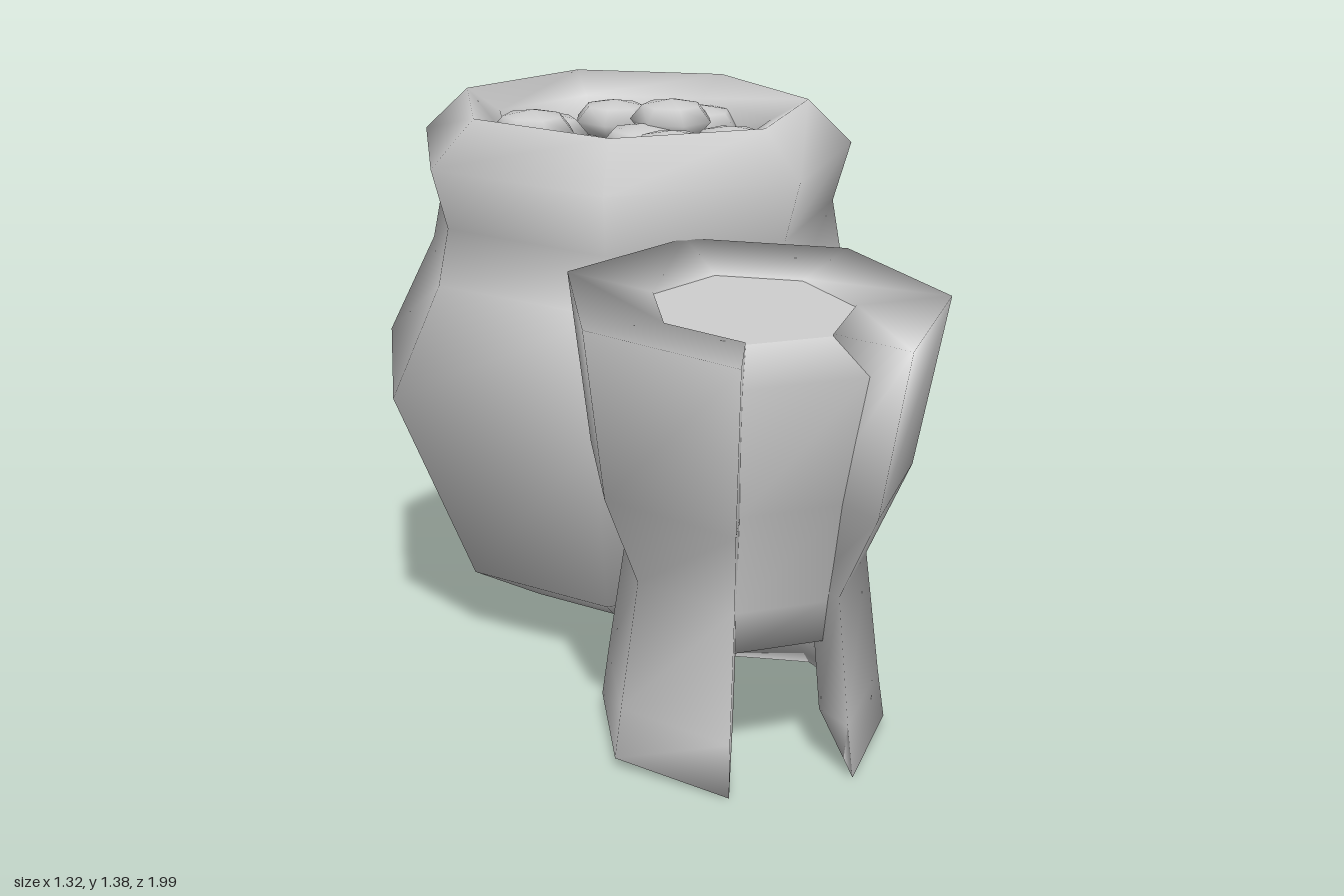
import * as THREE from 'three';

const SIDES = 7;
const grey = () => new THREE.MeshStandardMaterial({ color: 0xcccccc, side: THREE.DoubleSide });

// Skin seven-sided rings [radius, y, centreX, centreZ]; tilt lifts the back of each ring.
// open: leave out the front side, join last ring to first and cap both cut ends.
function loft(name, rings, tilt, open = false) {
  const pos = [], idx = [], n = rings.length;
  for (const [r, y, cx, cz] of rings) {
    for (let k = 0; k < SIDES; k++) {
      const a = (k + 0.5) * 2 * Math.PI / SIDES;
      pos.push(cx + r * Math.sin(a), y - tilt * r * Math.cos(a), cz + r * Math.cos(a));
    }
  }
  const id = (i, k) => (i % n) * SIDES + k % SIDES;
  const quad = (a, b, c, d) => idx.push(a, b, c, a, c, d);
  for (let i = 0; i < (open ? n : n - 1); i++) {
    for (let k = 0; k < (open ? SIDES - 1 : SIDES); k++) {
      quad(id(i, k), id(i, k + 1), id(i + 1, k + 1), id(i + 1, k));
    }
  }
  if (open) {
    for (let i = 0; i < n / 2 - 1; i++) {
      const j = n - 1 - i, e = SIDES - 1;
      quad(id(j, 0), id(i, 0), id(i + 1, 0), id(j - 1, 0));
      quad(id(i, e), id(j, e), id(j - 1, e), id(i + 1, e));
    }
  }
  const g = new THREE.BufferGeometry();
  g.setAttribute('position', new THREE.Float32BufferAttribute(pos, 3));
  g.setIndex(idx);
  g.computeVertexNormals();
  const mesh = new THREE.Mesh(g, grey());
  mesh.name = name;
  return mesh;
}

// Flat seven-sided disc
const disc = (name, r, y, cx, cz, tilt) => loft(name, [[r, y, cx, cz], [0, y, cx, cz]], tilt);

function createPot() {
  const pot = new THREE.Group();
  pot.name = 'pot';
  const tilt = 0.04;
  // Belly, neck, rolled rim and inner wall
  pot.add(loft('potBody', [
    [0, 0.08, 0, -0.36], [0.27, 0.08, 0, -0.36], [0.46, 0.19, 0, -0.34],
    [0.678, 0.695, 0, -0.32], [0.547, 0.96, 0, -0.313], [0.52, 1.1, 0, -0.305],
    [0.563, 1.25, 0, -0.3], [0.447, 1.362, 0, -0.293], [0.355, 1.31, 0, -0.3],
    [0.345, 1.22, 0, -0.3],
  ], tilt));
  pot.add(disc('potFilling', 0.345, 1.22, 0, -0.3, tilt));

  // Flattened berries lying on the filling: x, y, z
  const berries = [
    [-0.18, 1.27, -0.44], [-0.25, 1.3, -0.32], [-0.17, 1.25, -0.2],
    [0.03, 1.27, -0.08], [0.03, 1.28, -0.52], [0.03, 1.25, -0.31],
    [0.13, 1.3, -0.36], [0.23, 1.27, -0.42], [0.23, 1.25, -0.2],
  ];
  const berryGeometry = new THREE.SphereGeometry(0.107, 7, 4).scale(1, 0.48, 1);
  berries.forEach(([x, y, z], i) => {
    const berry = new THREE.Mesh(berryGeometry, grey());
    berry.name = 'berry';
    berry.position.set(x, y, z);
    berry.rotation.set(0.04, i * 0.7, 0);
    pot.add(berry);
  });
  return pot;
}

function createStump() {
  const stump = new THREE.Group();
  stump.name = 'stump';
  const tilt = 0.095;
  // Waisted shell, split at the front: outside upwards, then inside downwards
  stump.add(loft('stumpShell', [
    [0.342, 0.03, -0.018, 0.51], [0.325, 0.15, -0.02, 0.515], [0.284, 0.45, -0.022, 0.534],
    [0.375, 0.67, -0.024, 0.56], [0.437, 1.067, -0.025, 0.595],
    [0.23, 1.045, -0.025, 0.58], [0.21, 0.67, -0.024, 0.56], [0.2, 0.45, -0.022, 0.534],
    [0.24, 0.16, -0.02, 0.515], [0.315, 0.065, -0.018, 0.51],
  ], tilt, true));
  // Solid core seen through the split
  stump.add(loft('stumpCore', [
    [0, 0.33, -0.022, 0.53], [0.24, 0.33, -0.022, 0.53], [0.25, 0.43, -0.022, 0.535],
    [0.28, 0.67, -0.024, 0.555], [0.33, 0.98, -0.025, 0.583], [0.23, 1.04, -0.025, 0.58],
  ], tilt));
  stump.add(disc('stumpTop', 0.23, 1.04, -0.025, 0.58, tilt));
  return stump;
}

export function createModel() {
  const model = new THREE.Group();
  model.name = 'potAndStump';
  model.add(createPot(), createStump());
  return model;
}
